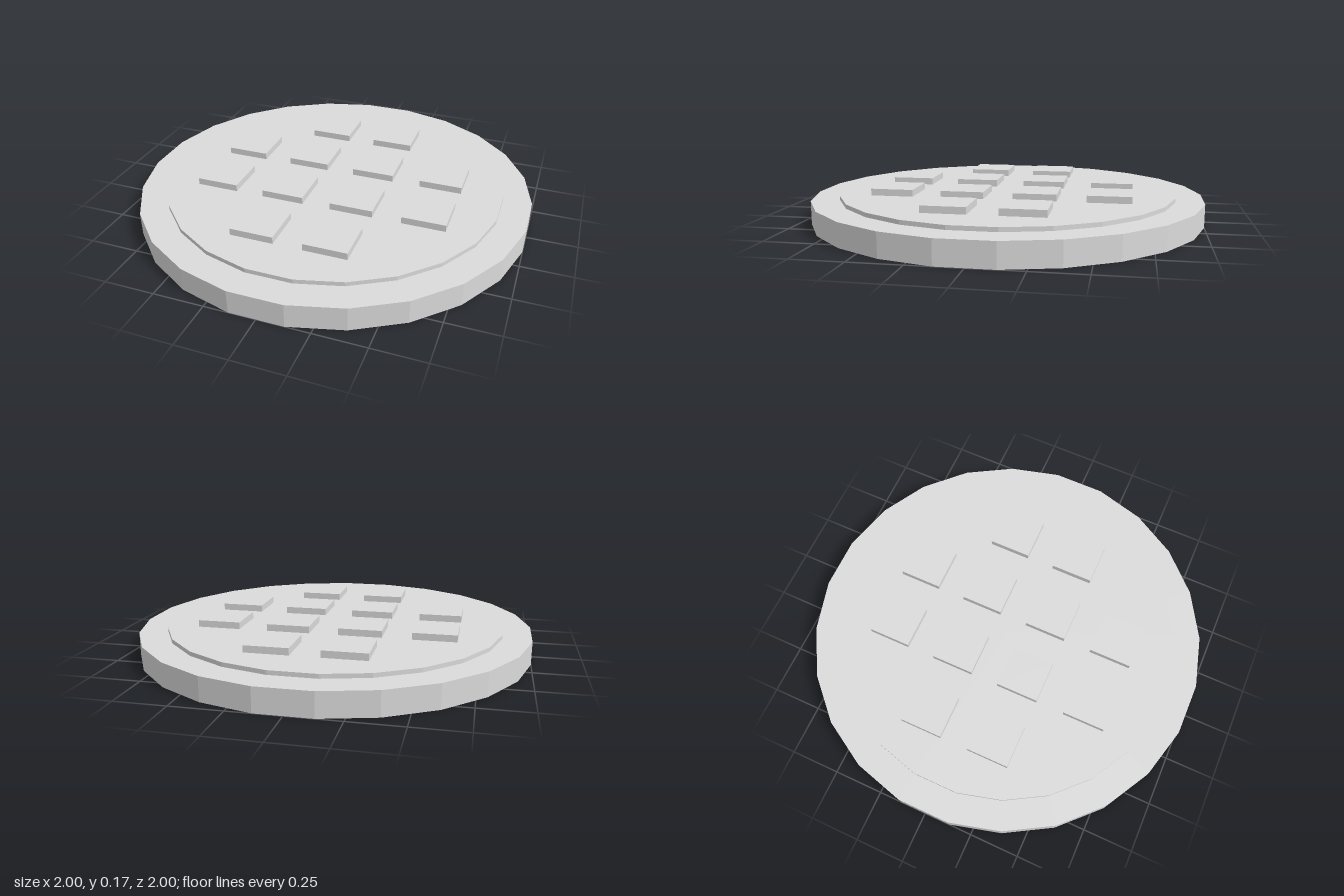
import * as THREE from 'three';

export function createModel() {
  const group = new THREE.Group();
  const lightGrey = new THREE.MeshStandardMaterial({
    color: 0xdbdbdb, flatShading: true, side: THREE.DoubleSide,
  });
  lightGrey.name = 'lightGrey';

  const BASE_TOP = 0.117, PLATE_TOP = 0.138, STUD_TOP = 0.172;

  // Thin cap, open below, with flats facing the axes; flatRadius is centre to flat
  const cap = (flatRadius, height, sides) => {
    const r = flatRadius / Math.cos(Math.PI / sides);
    const profile = [[r, 0], [r, height], [0, height]].map(([x, y]) => new THREE.Vector2(x, y));
    return new THREE.LatheGeometry(profile, sides, Math.PI / sides);
  };

  const add = (name, geometry, x, y, z) => {
    const mesh = new THREE.Mesh(geometry, lightGrey);
    mesh.name = name;
    mesh.position.set(x, y, z);
    group.add(mesh);
  };

  // Hollow base and raised plate
  add('base', cap(1, BASE_TOP, 24), 0, 0, 0);
  add('raisedPlate', cap(0.858, PLATE_TOP - BASE_TOP, 24), 0, BASE_TOP, 0);

  // Square studs on a 4 x 4 grid without the corners
  const stud = cap(0.108, STUD_TOP - PLATE_TOP, 4);
  const pitch = 0.361;
  for (let i = 0; i < 4; i++) {
    for (let j = 0; j < 4; j++) {
      if (i % 3 === 0 && j % 3 === 0) continue;
      add('stud', stud, (i - 1.5) * pitch, PLATE_TOP, (j - 1.5) * pitch);
    }
  }
  return group;
}
